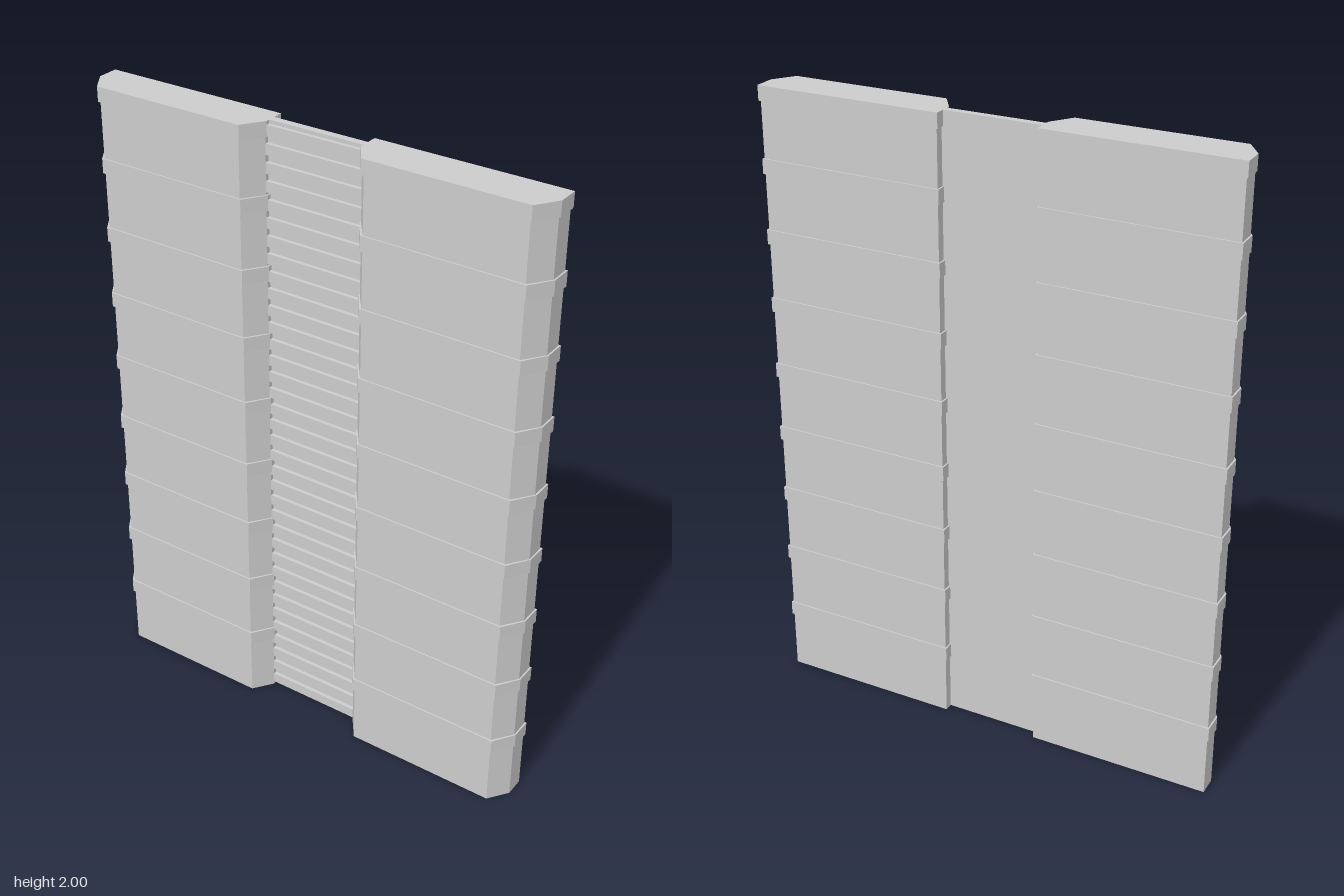
import * as THREE from 'three';

const material = new THREE.MeshStandardMaterial({ color: 0xcccccc, flatShading: true });
const HEIGHT = 2;
const BANDS = 9, BAND_PITCH = 0.2197, BAND_HEIGHT = 0.046;
const RIBS = 36;

// Prism with chamfered front corners, standing from y0 up to y1
function chamferedSlab(name, inset, y0, y1) {
  const w = 0.297 - inset, d = 0.067 - inset, c = 0.046;
  // shape y becomes -z after the rotation, so the chamfers sit at negative y
  const shape = new THREE.Shape([
    [-w, d], [-w, 0], [-w + c, -d], [w - c, -d], [w, 0], [w, d],
  ].map(([x, y]) => new THREE.Vector2(x, y)));
  const geometry = new THREE.ExtrudeGeometry(shape, { depth: y1 - y0, bevelEnabled: false });
  geometry.rotateX(-Math.PI / 2);
  geometry.translate(0, y0, 0);
  const mesh = new THREE.Mesh(geometry, material);
  mesh.name = name;
  return mesh;
}

function box(name, w, h, d, x, y, z) {
  const mesh = new THREE.Mesh(new THREE.BoxGeometry(w, h, d), material);
  mesh.name = name;
  mesh.position.set(x, y, z);
  return mesh;
}

// Wide pillar with slightly raised bands at regular heights
function createPillar(name, x) {
  const pillar = new THREE.Group();
  pillar.name = name;
  pillar.position.x = x;
  pillar.add(chamferedSlab('pillarCore', 0.005, 0, HEIGHT));
  for (let i = 0; i < BANDS; i++) {
    const top = HEIGHT - i * BAND_PITCH;
    pillar.add(chamferedSlab('raisedBand', 0, top - BAND_HEIGHT, top));
  }
  return pillar;
}

// Thin recessed panel with horizontal ribs on its front
function createCentrePanel() {
  const panel = new THREE.Group();
  panel.name = 'centrePanel';
  panel.add(box('panelBack', 0.32, HEIGHT, 0.023, 0, HEIGHT / 2, -0.0235));
  const pitch = HEIGHT / RIBS;
  for (let i = 0; i < RIBS; i++) {
    panel.add(box('rib', 0.32, pitch * 0.6, 0.012, 0, (i + 0.5) * pitch, -0.006));
  }
  return panel;
}

export function createModel() {
  const model = new THREE.Group();
  model.name = 'ribbedWallPanel';
  model.add(createPillar('leftPillar', 0.45), createPillar('rightPillar', -0.45), createCentrePanel());
  return model;
}
